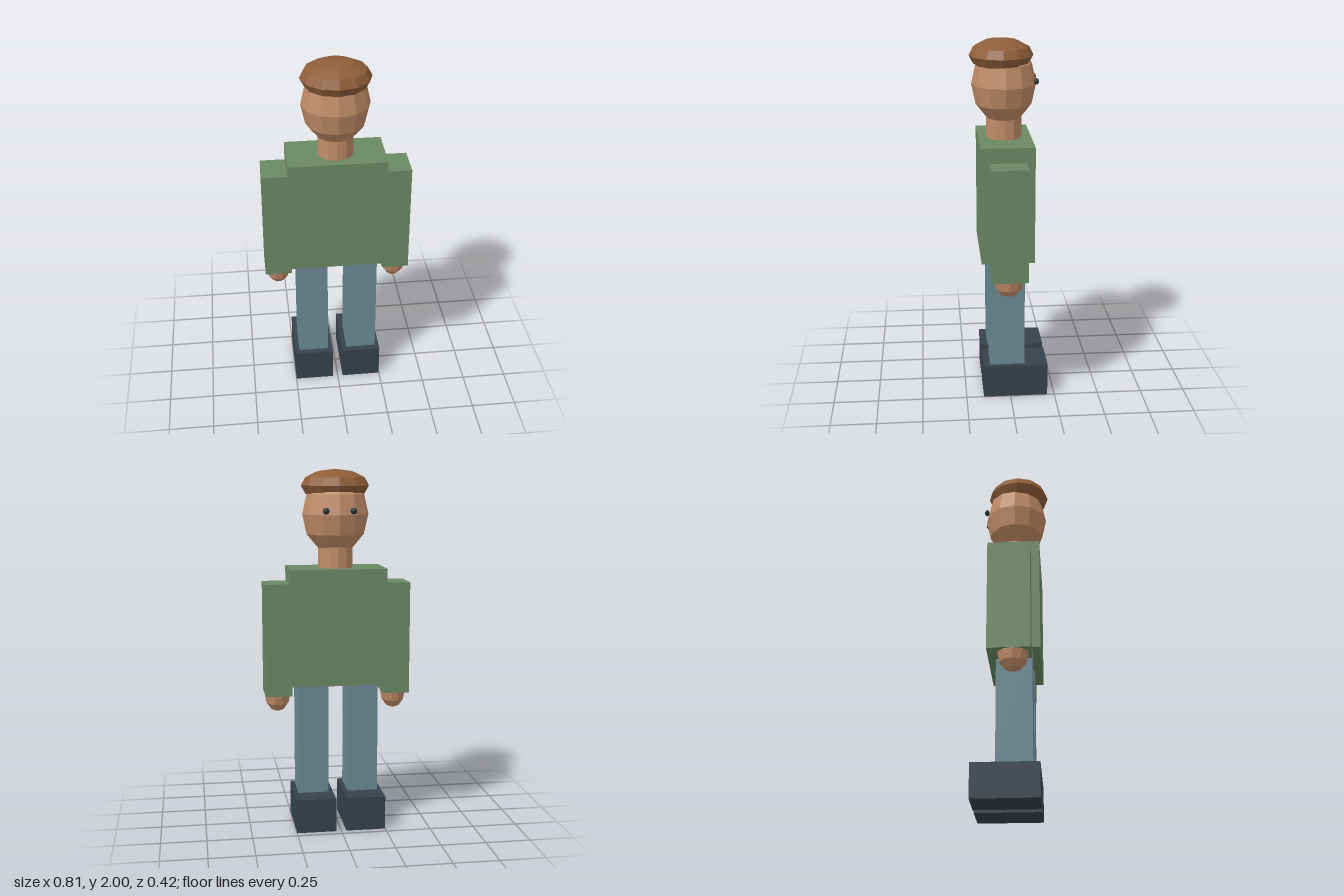
import * as THREE from 'three';

const mat = (color) => new THREE.MeshStandardMaterial({ color, flatShading: true });

export function createModel() {
  const model = new THREE.Group();
  const skin = mat(0xc08c68), hat = mat(0x8f5e3a), shirt = mat(0x6b8a64);
  const trousers = mat(0x6a8a96), leather = mat(0x36424a), dark = mat(0x2a3238);

  const add = (name, geometry, material, x, y, z) => {
    const mesh = new THREE.Mesh(geometry, material);
    mesh.name = name;
    mesh.position.set(x, y, z);
    model.add(mesh);
    return mesh;
  };
  // Box given by its limits on each axis
  const box = (name, material, [x0, x1], [y0, y1], [z0, z1]) =>
    add(name, new THREE.BoxGeometry(x1 - x0, y1 - y0, z1 - z0), material,
      (x0 + x1) / 2, (y0 + y1) / 2, (z0 + z1) / 2);
  // Faceted ellipsoid with six rings
  const ball = (name, material, sides, [x, y, z], [rx, ry, rz]) =>
    add(name, new THREE.SphereGeometry(1, sides, 6).scale(rx, ry, rz), material, x, y, z);

  // Body, neck, head and cap; the figure looks towards -z
  box('torso', shirt, [-0.267, 0.267], [0.815, 1.462], [-0.13, 0.16]);
  add('neck', new THREE.CylinderGeometry(0.097, 0.097, 0.18, 12), skin, 0, 1.53, 0.018);
  ball('head', skin, 12, [0, 1.755, 0.019], [0.185, 0.22, 0.176]);
  ball('cap', hat, 12, [0, 1.91, 0.033], [0.19, 0.09, 0.174]);

  // Paired parts
  for (const [side, s] of [['right', 1], ['left', -1]]) {
    const span = (a, b) => (s > 0 ? [a, b] : [-b, -a]);
    box(side + 'Sleeve', shirt, span(0.257, 0.405), [0.755, 1.38], [-0.083, 0.114]);
    ball(side + 'Hand', skin, 10, [s * 0.331, 0.752, 0.018], [0.073, 0.102, 0.085]);
    box(side + 'Leg', trousers, span(0.055, 0.226), [0.18, 0.83], [-0.08, 0.115]);
    box(side + 'Shoe', leather, span(0.029, 0.249), [0, 0.19], [-0.21, 0.152]);
    ball(side + 'Eye', dark, 8, [s * 0.075, 1.777, -0.15], [0.018, 0.018, 0.014]);
  }
  return model;
}
